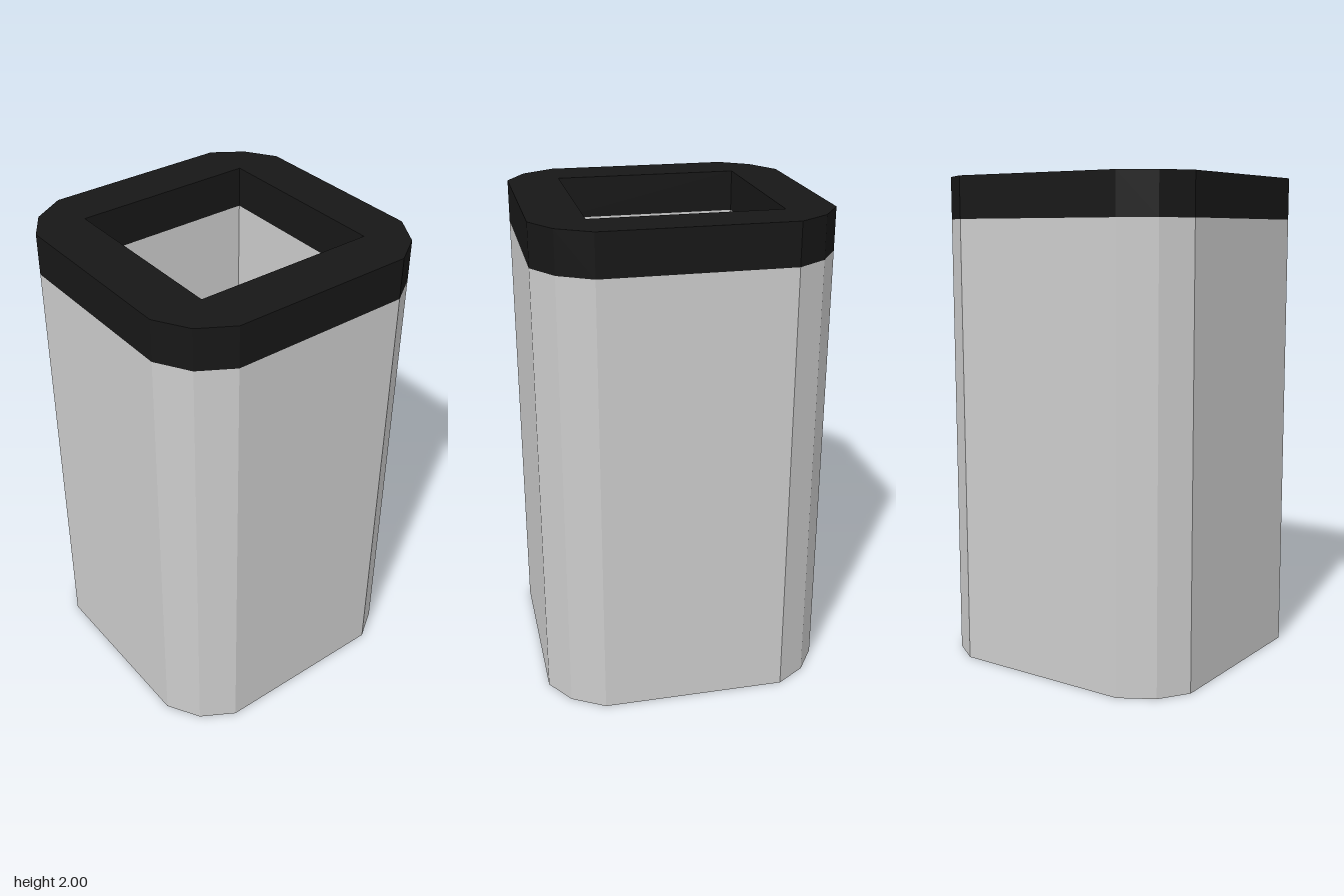
import * as THREE from 'three';

const HEIGHT = 2, RIM_Y = 1.83, FLOOR_Y = 0.17;

// Plan outlines as [x, z], running from the back left corner round to the right, front and back again
const outer = [
  [-0.585, -0.385], [-0.505, -0.505], [-0.37, -0.585],
  [0.385, -0.585], [0.505, -0.505], [0.583, -0.385],
  [0.583, 0.37], [0.505, 0.503], [0.385, 0.583],
  [-0.37, 0.583], [-0.505, 0.503], [-0.585, 0.37],
];
const inner = [[-0.37, -0.385], [0.385, -0.385], [0.385, 0.37], [-0.37, 0.37]];

// Vertical faceted wall along a closed outline, facing outward or into the cavity
function wall(outline, y0, y1, inward = false) {
  const pos = [];
  outline.forEach(([ax, az], i) => {
    const [bx, bz] = outline[(i + 1) % outline.length];
    const a0 = [ax, y0, az], a1 = [ax, y1, az], b0 = [bx, y0, bz], b1 = [bx, y1, bz];
    const corners = inward ? [a0, b0, b1, a0, b1, a1] : [a0, b1, b0, a0, a1, b1];
    corners.forEach((c) => pos.push(...c));
  });
  const geo = new THREE.BufferGeometry();
  geo.setAttribute('position', new THREE.Float32BufferAttribute(pos, 3));
  geo.computeVertexNormals();
  return geo;
}

// Flat horizontal face, up or down, with an optional opening
function plate(outline, y, up = true, hole = null) {
  const s = up ? -1 : 1;
  const toPoints = (list) => list.map(([x, z]) => new THREE.Vector2(x, s * z));
  const shape = new THREE.Shape(toPoints(outline));
  if (hole) shape.holes.push(new THREE.Path(toPoints(hole)));
  return new THREE.ShapeGeometry(shape).rotateX(s * Math.PI / 2).translate(0, y, 0);
}

export function createModel() {
  const grey = new THREE.MeshStandardMaterial({ color: 0xcccccc, flatShading: true });
  const black = new THREE.MeshStandardMaterial({ color: 0x171717, flatShading: true });

  const part = (name, material, pieces) => {
    const group = new THREE.Group();
    group.name = name;
    for (const [label, geo] of Object.entries(pieces)) {
      const mesh = new THREE.Mesh(geo, material);
      mesh.name = label;
      group.add(mesh);
    }
    return group;
  };

  const model = new THREE.Group();
  model.name = 'container';
  model.add(
    // Grey body with a square cavity
    part('body', grey, {
      outerWall: wall(outer, 0, RIM_Y),
      innerWall: wall(inner, FLOOR_Y, RIM_Y, true),
      cavityFloor: plate(inner, FLOOR_Y),
      underside: plate(outer, 0, false),
    }),
    // Black band around the opening
    part('rim', black, {
      rimOutside: wall(outer, RIM_Y, HEIGHT),
      rimInside: wall(inner, RIM_Y, HEIGHT, true),
      rimTop: plate(outer, HEIGHT, true, inner),
    }),
  );
  return model;
}
